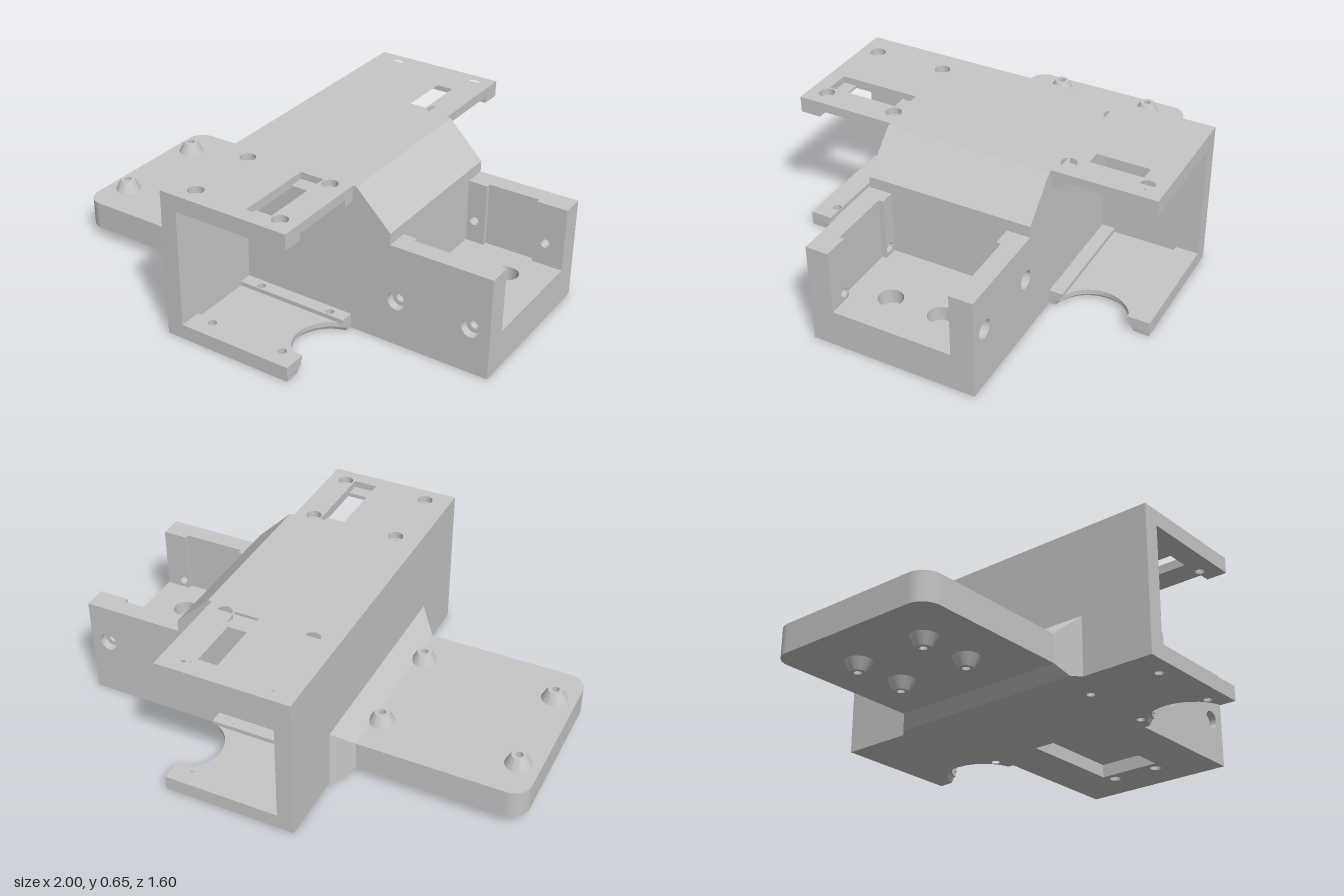
import * as THREE from 'three';
import { toCreasedNormals } from 'three/addons/utils/BufferGeometryUtils.js';
import { ConvexGeometry } from 'three/addons/geometries/ConvexGeometry.js';

const grey = new THREE.MeshStandardMaterial({ color: 0xc6c6c6 });
grey.name = 'light grey';

export function createModel() {
  const model = new THREE.Group();
  model.name = 'mountingBracket';

  const add = (name, geometry) => {
    const mesh = new THREE.Mesh(toCreasedNormals(geometry, 0.6), grey);
    mesh.name = name;
    model.add(mesh);
    return mesh;
  };
  const polygon = (pts) => new THREE.Shape(pts.map(([x, y]) => new THREE.Vector2(x, y)));
  const rect = (x0, x1, y0, y1) => polygon([[x0, y0], [x1, y0], [x1, y1], [x0, y1]]);
  const circle = (x, y, r) => new THREE.Path().absarc(x, y, r, 0, Math.PI * 2, true);
  const extrude = (shape, holes, depth) => {
    shape.holes.push(...holes);
    return new THREE.ExtrudeGeometry(shape, { depth, bevelEnabled: false, curveSegments: 20 });
  };
  // Horizontal slab: outline in (x, z), spanning y0 to y1
  const slabGeometry = (shape, holes, y0, y1) =>
    extrude(shape, holes, y1 - y0).rotateX(Math.PI / 2).translate(0, y1, 0);
  const slab = (name, shape, holes, y0, y1) => add(name, slabGeometry(shape, holes, y0, y1));
  // Upright slab: outline in (x, y), spanning z0 to z1
  const upright = (name, shape, holes, z0, z1) =>
    add(name, extrude(shape, holes, z1 - z0).translate(0, 0, z0));

  // Central housing: pocketed floor, screw holes, sloped solid block
  const floorHoles = (r) => [-0.114, 0.11].map((z) => circle(0.823, z, r));
  slab('housingBase', rect(-0.2, 1, -0.36, 0.36),
    [rect(0.28, 0.77, -0.145, 0.145), ...floorHoles(0.025)], 0, 0.06);
  slab('housingFloorLower', rect(-0.2, 1, -0.36, 0.36), floorHoles(0.025), 0.06, 0.1);
  slab('housingFloor', rect(-0.2, 1, -0.325, 0.325), floorHoles(0.052), 0.1, 0.165);
  upright('housingBlock', polygon([[-0.2, 0.165], [0.555, 0.165], [0.555, 0.495],
    [0.4, 0.65], [-0.2, 0.65]]), [], -0.325, 0.325);

  // Side walls with counterbored holes and a shallow recess inside the open bay
  const bay = [
    { s: 1, holeY: 0.202, recess: [0.615, 0.89] },
    { s: -1, holeY: 0.265, recess: [0.64, 0.865] },
  ];
  for (const { s, holeY, recess } of bay) {
    const layer = (name, shape, holes, a, b) =>
      upright(name, shape, holes, s > 0 ? a : -b, s > 0 ? b : -a);
    const hole = (x, r) => circle(x, holeY, r);
    layer('housingSide', polygon([[-0.2, 0.1], [1, 0.1], [1, 0.445], [0.555, 0.445],
      [0.555, 0.495], [0.4, 0.65], [-0.2, 0.65]]),
      [hole(0.59, 0.04), hole(0.917, 0.04)], 0.325, 0.36);
    layer('bayWallMiddle', rect(0.555, 1, 0.165, 0.445),
      [hole(0.59, 0.02), hole(0.917, 0.02)], 0.28, 0.325);
    layer('bayWallInnerRear', rect(0.555, recess[0], 0.165, 0.445), [hole(0.59, 0.02)], 0.26, 0.28);
    layer('bayWallInnerEnd', rect(recess[1], 1, 0.165, 0.445), [hole(0.917, 0.02)], 0.26, 0.28);
  }

  // Side brackets: back plate, slotted top plate, bottom plate with round cutout
  const edge = 0.382;
  const biteX = 0.42, biteZ = 0.56;
  for (const s of [-1, 1]) {
    const plate = () => rect(-0.2, edge, s * 0.36, s * 0.8);
    const holes = (x, r) => [0.396, 0.722].map((z) => circle(x, s * z, r));
    const topHoles = (r) => [...holes(-0.088, r), ...holes(0.303, r)];
    const slot = (a, b) => rect(0.157, 0.262, s * a, s * b);

    upright('bracketBack', rect(-0.2, -0.127, 0.065, 0.58), [],
      s > 0 ? 0.36 : -0.8, s > 0 ? 0.8 : -0.36);

    slab('bracketTopUpper', plate(), [...topHoles(0.033), slot(0.38, 0.735)], 0.62, 0.65);
    slab('bracketTopMiddle', plate(), [...topHoles(0.02), slot(0.445, 0.675)], 0.61, 0.62);
    const notched = (x, z0, z1) => polygon([[-0.2, 0.36], [edge, 0.36], [edge, z0], [x, z0],
      [x, z1], [edge, z1], [edge, 0.8], [-0.2, 0.8]].map(([px, z]) => [px, s * z]));
    slab('bracketTopLower', notched(-0.02, 0.412, 0.708), topHoles(0.02), 0.58, 0.61);

    // Plate outline with a round bite out of its free edge
    const bitten = (r) => {
      const pts = [[-0.2, 0.36], [edge, 0.36]];
      const sweep = Math.acos((biteX - edge) / r);
      for (let i = 0; i <= 24; i++) {
        const a = sweep * (i / 12 - 1);
        pts.push([biteX - r * Math.cos(a), biteZ + r * Math.sin(a)]);
      }
      pts.push([edge, 0.8], [-0.2, 0.8]);
      return polygon(pts.map(([x, z]) => [x, s * z]));
    };
    const baseHoles = (r) => [...holes(-0.038, r), ...holes(0.303, r)];
    // The lower lip of the bite flares outward toward the underside
    const lip = slabGeometry(bitten(0.165), baseHoles(0.018), 0, 0.025);
    const pos = lip.attributes.position;
    for (let i = 0; i < pos.count; i++) {
      const dx = pos.getX(i) - biteX, dz = pos.getZ(i) - s * biteZ;
      if (pos.getY(i) < 0.01 && Math.abs(Math.hypot(dx, dz) - 0.165) < 0.0005) {
        pos.setX(i, biteX + dx * 1.07);
        pos.setZ(i, s * biteZ + dz * 1.07);
      }
    }
    add('bracketBaseLower', lip);
    slab('bracketBaseMiddle', bitten(0.155), baseHoles(0.018), 0.025, 0.046);
    slab('bracketBaseRails', notched(-0.127, 0.418, 0.702), baseHoles(0.018), 0.046, 0.065);
  }

  // Rear tongue with rounded corners
  const tongue = new THREE.Shape();
  tongue.moveTo(-0.28, -0.4);
  tongue.lineTo(-0.28, 0.4);
  tongue.lineTo(-0.92, 0.4);
  tongue.absarc(-0.92, 0.32, 0.08, Math.PI / 2, Math.PI, false);
  tongue.lineTo(-1, -0.32);
  tongue.absarc(-0.92, -0.32, 0.08, Math.PI, Math.PI * 1.5, false);
  slab('tongue', tongue, [], 0.052, 0.177);

  // Flared root joining the tongue to the bracket
  const root = [];
  for (const s of [-1, 1]) {
    for (const [x, y, z] of [[-0.28, 0.052, 0.4], [-0.28, 0.177, 0.4], [-0.235, 0, 0.445],
      [-0.2, 0, 0.48], [-0.2, 0.26, 0.48]]) root.push(new THREE.Vector3(x, y, s * z));
  }
  add('tongueRoot', new ConvexGeometry(root));

  // Tapered bosses with blind holes, four above and four below
  const boss = (name, x, y, z, flip) => {
    const profile = [[0.056, 0], [0.032, 0.048], [0.016, 0.048], [0.016, 0.008], [0, 0.008]];
    const mesh = add(name, new THREE.LatheGeometry(
      profile.map(([r, h]) => new THREE.Vector2(r, h)), 28));
    mesh.position.set(x, y, z);
    if (flip) mesh.rotation.x = Math.PI;
  };
  for (const x of [-0.907, -0.315]) for (const z of [-0.225, 0.222]) boss('upperBoss', x, 0.177, z, false);
  for (const x of [-0.77, -0.535]) for (const z of [-0.165, 0.18]) boss('lowerBoss', x, 0.052, z, true);

  return model;
}
